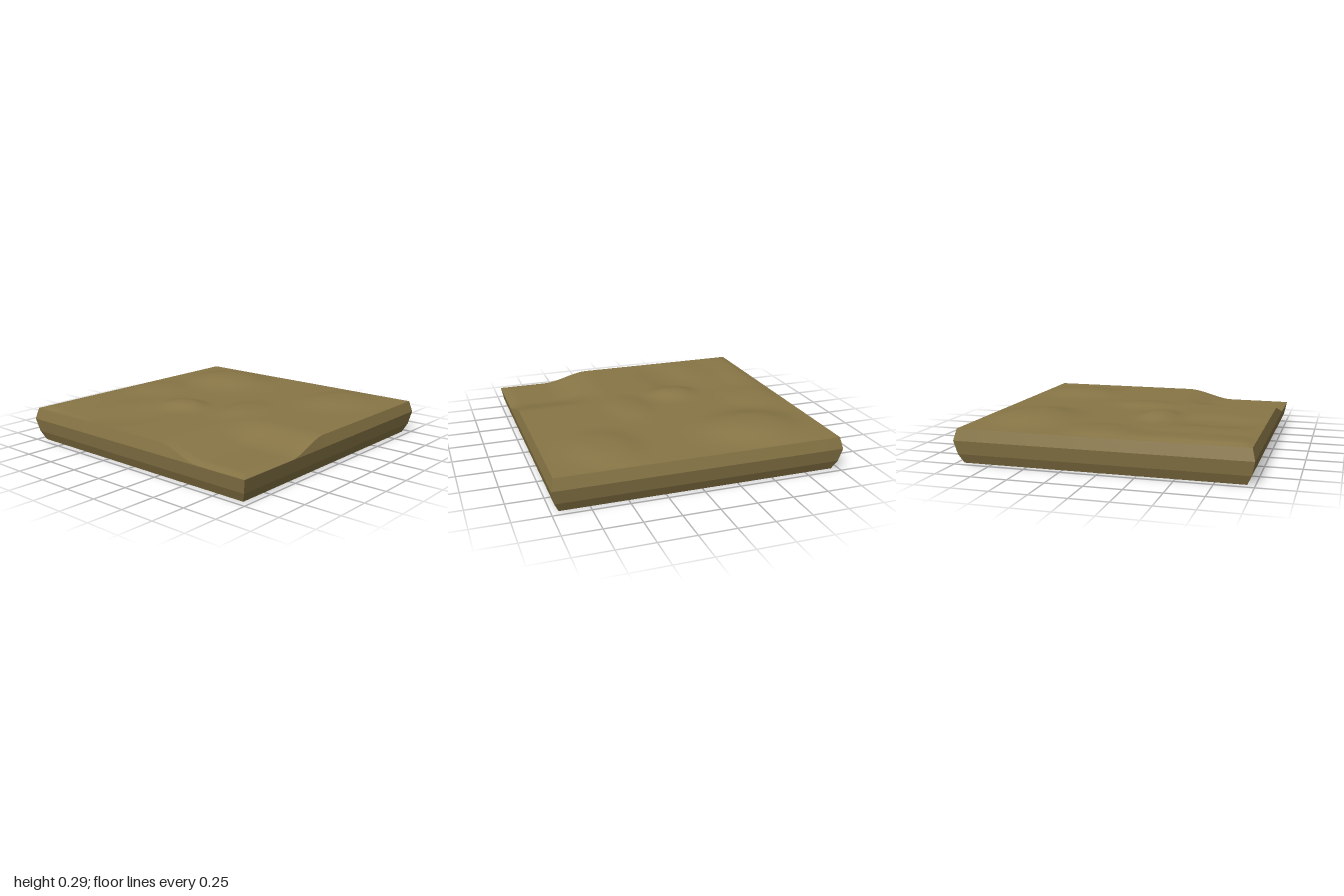
import * as THREE from 'three';

const N = 80; // segments per side
const BASE = 0.24;

const smooth = (t) => THREE.MathUtils.smoothstep(t, 0, 1);

// 1 in the sunken front corner, 0 elsewhere
const sunken = (x, z) => smooth((-0.17 - x) / 0.38) * smooth((z - 0.28) / 0.36);

// Gentle hills and hollows: x, z, height, radius x, radius z
const BUMPS = [
  [0.63, -0.51, 0.054, 0.27, 0.31],
  [0.66, 0.58, 0.031, 0.27, 0.22],
  [-0.22, -0.22, 0.036, 0.13, 0.16],
  [-0.02, 0.19, 0.02, 0.22, 0.14],
  [-0.65, -0.3, -0.018, 0.3, 0.17],
  [-0.65, -0.9, 0.015, 0.6, 0.14],
  [-0.65, -0.6, 0.01, 0.3, 0.17],
  [0.05, -0.78, 0.018, 0.22, 0.18],
];

function groundHeight(x, z) {
  const fade = smooth((1 - Math.max(Math.abs(x), Math.abs(z))) / 0.06);
  let y = BASE - 0.078 * sunken(x, z);
  for (const [bx, bz, h, rx, rz] of BUMPS) {
    const d = Math.hypot((x - bx) / rx, (z - bz) / rz);
    y += fade * h * Math.exp(-(d ** 3));
  }
  // Slight swell inside the sunken corner
  return y + fade * 0.012 * sunken(x, z);
}

// The rim leans inwards where the ground is high
const surfacePoint = (u, v) => [
  u * (1 - 0.02 * (1 - sunken(Math.sign(u), v))),
  groundHeight(u, v),
  v * (1 - 0.02 * (1 - sunken(u, Math.sign(v)))),
];

function groundGeometry() {
  const geo = new THREE.PlaneGeometry(2, 2, N, N).rotateX(-Math.PI / 2);
  const pos = geo.attributes.position;
  for (let i = 0; i < pos.count; i++) {
    pos.setXYZ(i, ...surfacePoint(pos.getX(i), pos.getZ(i)));
  }
  geo.computeVertexNormals();
  return geo;
}

// Open skirt: bevelled rows swept around the square, top row meeting the ground
function skirtGeometry() {
  const rows = [[0.95, 0], [0.98, 0.065], [1, 0.16]];
  const sides = [(t) => [t, 1], (t) => [1, -t], (t) => [-t, -1], (t) => [-1, t]];
  const verts = [];
  const index = [];
  const stride = rows.length + 1;
  for (const side of sides) {
    const start = verts.length / 3;
    for (let i = 0; i <= N; i++) {
      const [u, v] = side((2 * i) / N - 1);
      for (const [r, y] of rows) verts.push(u * r, y, v * r);
      verts.push(...surfacePoint(u, v));
      if (i === N) break;
      for (let j = 0; j < rows.length; j++) {
        const a = start + i * stride + j;
        const b = a + stride;
        index.push(a, b, b + 1, a, b + 1, a + 1);
      }
    }
  }
  const geo = new THREE.BufferGeometry();
  geo.setAttribute('position', new THREE.Float32BufferAttribute(verts, 3));
  geo.setIndex(index);
  geo.computeVertexNormals();
  return geo;
}

export function createModel() {
  const group = new THREE.Group();
  group.name = 'terrainTile';
  const look = { color: 0x887646, side: THREE.DoubleSide };

  const ground = new THREE.Mesh(groundGeometry(), new THREE.MeshStandardMaterial(look));
  ground.name = 'ground';

  const skirt = new THREE.Mesh(
    skirtGeometry(),
    new THREE.MeshStandardMaterial({ ...look, flatShading: true }),
  );
  skirt.name = 'skirt';

  group.add(ground, skirt);
  return group;
}
